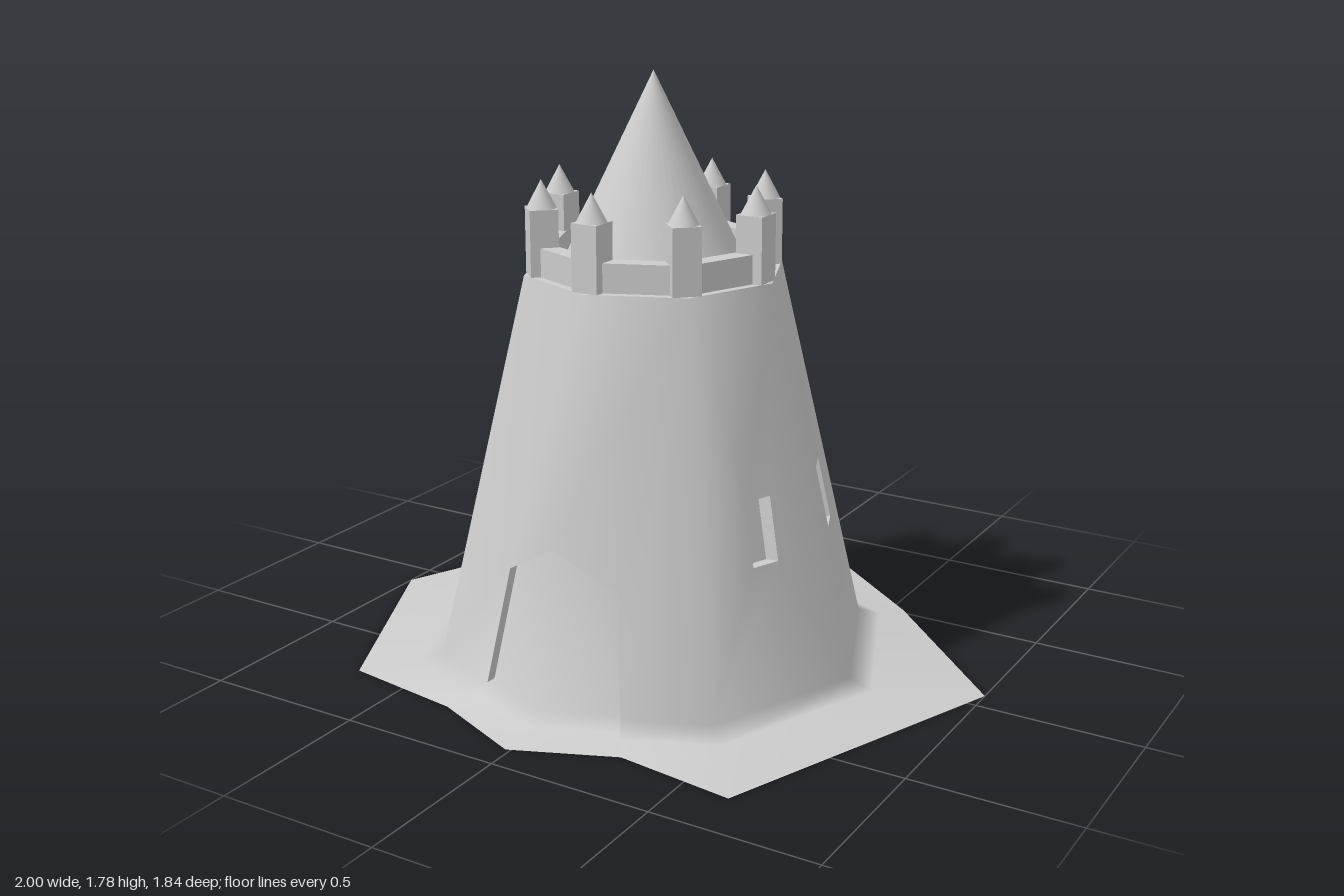
import * as THREE from 'three';
import { mergeVertices } from 'three/addons/utils/BufferGeometryUtils.js';

const CX = -0.015, CZ = 0.115;            // tower axis
const TOP = 1.205, FOOT = 0.05, TOE = 0.025;
const STEP = Math.PI / 4, CHORD = Math.cos(STEP / 2);
const V = (x, y, z) => new THREE.Vector3(x, y, z);
const material = new THREE.MeshStandardMaterial({ color: 0xcccccc, side: THREE.DoubleSide });

// Radius of the tapering octagonal wall at a height
const radius = (y) => 0.665 - 0.275 * (y - FOOT) / (TOP - FOOT);
// Point on a ring, angle measured from the front towards +x
const polar = (a, r, y) => V(CX + r * Math.sin(a), y, CZ + r * Math.cos(a));

// Uneven ground outline: one [x, z] per octagon corner, front first
const ground = [[-0.015, 0.915], [0.645, 0.835], [1, -0.07], [0.54, -0.52],
  [0.02, -0.92], [-0.645, -0.705], [-1, 0.1], [-0.69, 0.735]];

// The four heights of octagon corner k: ground, toe, foot, top
function corner(k) {
  k = (k + 8) % 8;
  const a = k * STEP;
  return [V(ground[k][0], 0, ground[k][1]), polar(a, 0.735, TOE),
    polar(a, 0.665, FOOT), polar(a, radius(TOP), TOP)];
}

// Collects polygons (fans of corners, counter-clockwise from outside)
function faceList() {
  const pos = [];
  return {
    add(points, flip = false) {
      const p = flip ? [...points].reverse() : points;
      for (let i = 1; i < p.length - 1; i++)
        for (const v of [p[0], p[i], p[i + 1]]) pos.push(v.x, v.y, v.z);
    },
    geometry(smooth) {
      let g = new THREE.BufferGeometry();
      g.setAttribute('position', new THREE.Float32BufferAttribute(pos, 3));
      if (smooth) g = mergeVertices(g);
      g.computeVertexNormals();
      return g;
    },
  };
}

// Doorway edge on one side, from ground to shoulder
function doorEdge(s) {
  const z = (r, dx) => CZ + r - dx * Math.tan(STEP / 2);
  return [
    V(CX + s * 0.298, 0, 0.79),
    V(CX + s * 0.262, TOE, z(0.735, 0.262)),
    V(CX + s * 0.23, FOOT, z(0.665, 0.23)),
    V(CX + s * 0.183, 0.395, z(radius(0.395), 0.183)),
  ];
}

export function createModel() {
  const group = new THREE.Group();
  const put = (name, geometry, parent = group) => {
    const m = new THREE.Mesh(geometry, material);
    m.name = name;
    parent.add(m);
    return m;
  };

  const wall = faceList(), reveals = faceList(), panel = faceList();

  // Six wall faces, each with a recessed window, and the skirt below
  for (let k = 1; k <= 6; k++) {
    const L = corner(k), R = corner(k + 1);
    for (let j = 0; j < 2; j++) wall.add([L[j], R[j], R[j + 1], L[j + 1]]);

    const a = (k + 0.5) * STEP;
    const out = V(Math.sin(a), 0.22, Math.cos(a)).normalize();
    const side = V(Math.cos(a), 0, -Math.sin(a));
    const hole = [[-1, 0.44], [1, 0.44], [1, 0.625], [-1, 0.625]].map(([s, y]) =>
      polar(a, radius(y) * CHORD, y).addScaledVector(side, s * 0.045));
    const back = hole.map((p) => p.clone().addScaledVector(out, -0.055));
    const frame = [L[2], R[2], R[3], L[3]];
    for (let i = 0; i < 4; i++) {
      const n = (i + 1) % 4;
      wall.add([frame[i], frame[n], hole[n], hole[i]]);
      reveals.add([hole[i], hole[n], back[n], back[i]]);
    }
    reveals.add(back);
  }

  // Two front faces around the recessed doorway
  const tip = polar(0, radius(0.505), 0.505);
  const inset = (p) => V(p.x, p.y, p.z - (p.y > 0 ? 0.035 : 0));
  const ridge = [corner(0)[0], V(CX, TOE, 0.805), V(CX, FOOT, 0.755), inset(tip)];
  const topFront = corner(0)[3];
  for (const s of [1, -1]) {
    const flip = s < 0, E = doorEdge(s), C = corner(s), I = E.map(inset);
    for (let j = 0; j < 2; j++) {
      wall.add([E[j], C[j], C[j + 1], E[j + 1]], flip);
      panel.add([ridge[j], I[j], I[j + 1], ridge[j + 1]], flip);
    }
    wall.add([C[3], E[3], E[2], C[2]], flip);
    wall.add([C[3], topFront, tip, E[3]], flip);
    panel.add([ridge[3], ridge[2], I[2], I[3]], flip);
    const loop = [...E, tip], inner = [...I, ridge[3]];
    for (let j = 0; j < 4; j++)
      reveals.add([loop[j], loop[j + 1], inner[j + 1], inner[j]], flip);
  }
  put('towerWall', wall.geometry(true));
  put('windowAndDoorRecesses', reveals.geometry(false));
  put('doorPanel', panel.geometry(true));

  // Flat underside following the ground outline
  const rim = ground.slice(1).map(([x, z]) => new THREE.Vector2(x, z));
  const [dr, dl] = [1, -1].map((s) => doorEdge(s)[0]);
  const outline = [new THREE.Vector2(...ground[0]), new THREE.Vector2(dr.x, dr.z),
    ...rim, new THREE.Vector2(dl.x, dl.z)];
  put('underside', new THREE.ShapeGeometry(new THREE.Shape(outline)).rotateX(Math.PI / 2));

  // Floor of the battlements
  const floor = faceList();
  floor.add(Array.from({ length: 8 }, (_, k) => corner(k)[3]));
  put('towerTop', floor.geometry(false));

  // Parapet, posts and their little cone caps
  const battlements = new THREE.Group();
  battlements.name = 'battlements';
  group.add(battlements);
  const POST = 0.335, length = 2 * POST * Math.sin(STEP / 2);
  for (let k = 0; k < 8; k++) {
    const a = k * STEP, b = a + STEP / 2;
    const post = put('post', new THREE.BoxGeometry(0.083, 0.195, 0.083), battlements);
    post.position.copy(polar(a, POST, TOP + 0.0975));
    post.rotation.y = a;
    const cap = put('postCap', new THREE.ConeGeometry(0.044, 0.083, 24), battlements);
    cap.position.copy(polar(a, POST, 1.4415));
    const parapet = put('parapet', new THREE.BoxGeometry(length, 0.085, 0.055), battlements);
    parapet.position.copy(polar(b, POST * CHORD, TOP + 0.0425));
    parapet.rotation.y = b;
  }

  // Central spire
  const spire = put('spire', new THREE.ConeGeometry(0.28, 0.58, 48));
  spire.position.set(CX, TOP + 0.29, CZ + 0.005);

  return group;
}
